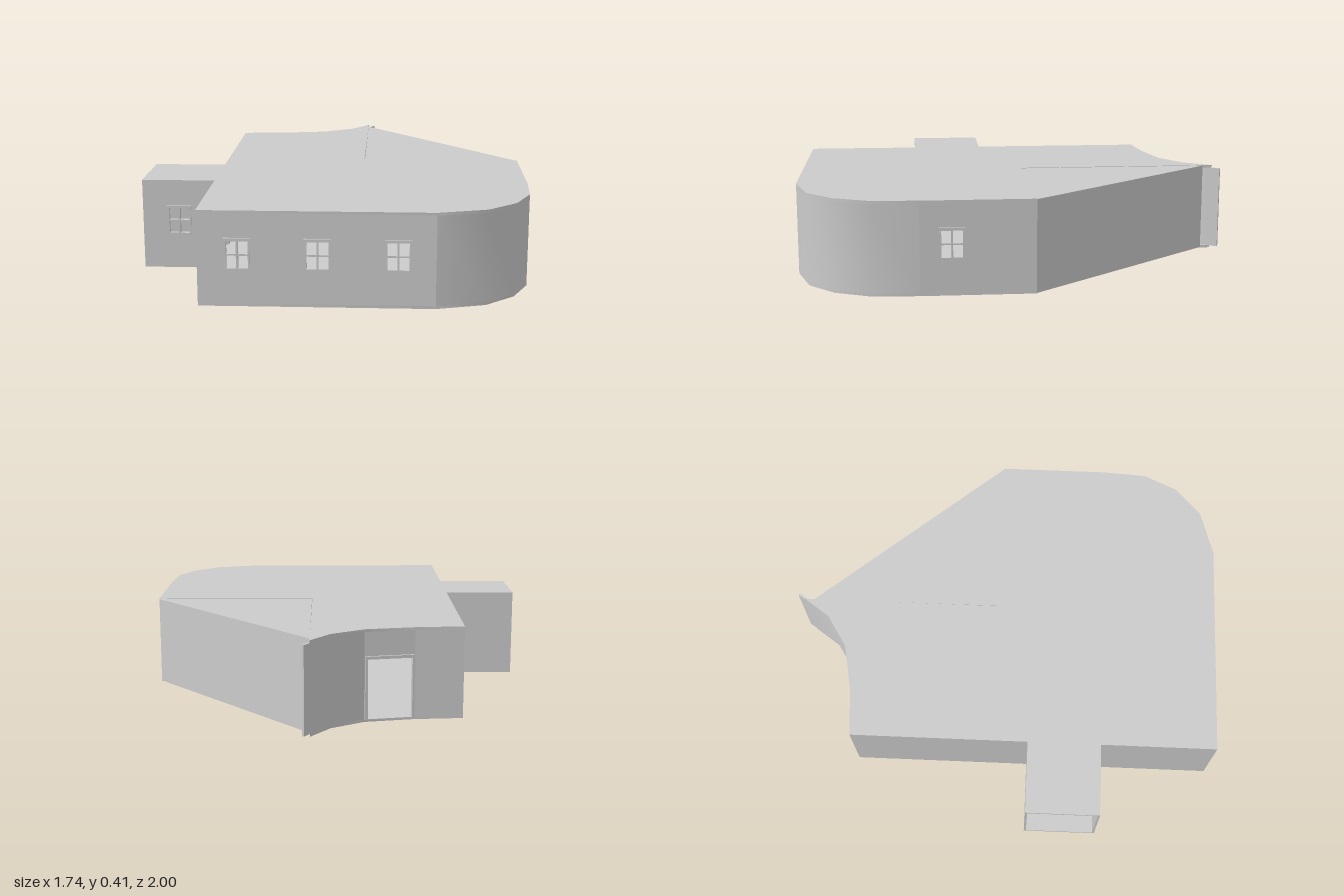
import * as THREE from 'three';
import { toCreasedNormals } from 'three/addons/utils/BufferGeometryUtils.js';

const T = 0.01;              // wall thickness
const Y0 = 0.012, Y1 = 0.396, TOP = 0.408;
const material = new THREE.MeshStandardMaterial({ color: 0xcccccc, side: THREE.DoubleSide });

function add(parent, name, geometry) {
  const mesh = new THREE.Mesh(geometry, material);
  mesh.name = name;
  parent.add(mesh);
  return mesh;
}

// Extrude a plan outline of [x, z] points upward from y0 to y1
function prism(points, y0, y1) {
  const shape = new THREE.Shape(points.map(([x, z]) => new THREE.Vector2(x, -z)));
  const geo = new THREE.ExtrudeGeometry(shape, { depth: y1 - y0, bevelEnabled: false });
  geo.rotateX(-Math.PI / 2).translate(0, y0, 0);
  return toCreasedNormals(geo, 0.6);
}

// Bent wall along a plan path, thickened inward with mitred corners
function bentWall(path) {
  const normal = (a, b) => new THREE.Vector2(b[1] - a[1], a[0] - b[0]).normalize();
  const inner = path.map((p, i) => {
    const n1 = normal(path[Math.max(i - 1, 0)], path[Math.max(i, 1)]);
    const last = path.length - 1;
    const n2 = normal(path[Math.min(i, last - 1)], path[Math.min(i + 1, last)]);
    const m = n1.clone().add(n2);
    m.multiplyScalar(2 * T / m.lengthSq());
    return [p[0] + m.x, p[1] + m.y];
  });
  return prism([...path, ...inner.reverse()], Y0, Y1);
}

function rect(target, x0, y0, x1, y1) {
  return target.moveTo(x0, y0).lineTo(x1, y0).lineTo(x1, y1).lineTo(x0, y1).closePath();
}

// Flat panel with rectangular holes; its outer face lies at z = out
function panel(box, holes, depth, out) {
  const shape = rect(new THREE.Shape(), ...box);
  holes.forEach(h => shape.holes.push(rect(new THREE.Path(), ...h)));
  return new THREE.ExtrudeGeometry(shape, { depth, bevelEnabled: false }).translate(0, 0, out - depth);
}

// Four-pane window frame with a lintel, centred at u along its wall
function addWindow(wall, u) {
  const panes = [];
  for (const x of [u - 0.045, u + 0.004])
    for (const y of [0.165, 0.226]) panes.push([x, y, x + 0.041, y + 0.054]);
  add(wall, 'windowFrame', panel([u - 0.053, 0.155, u + 0.053, 0.287], panes, 0.02, 0.007));
  add(wall, 'windowLintel', panel([u - 0.056, 0.285, u + 0.056, 0.293], [], 0.02, 0.009));
}

// Straight wall from a to b with windows at the given distances from a
function straightWall(parent, name, a, b, windows = []) {
  const wall = new THREE.Group();
  wall.name = name;
  wall.position.set(a[0], 0, a[1]);
  wall.rotation.y = Math.atan2(a[1] - b[1], b[0] - a[0]);
  const length = Math.hypot(b[0] - a[0], b[1] - a[1]);
  const holes = windows.map(u => [u - 0.049, 0.16, u + 0.049, 0.284]);
  add(wall, name + 'Panel', panel([0, Y0, length, Y1], holes, T, 0));
  windows.forEach(u => addWindow(wall, u));
  parent.add(wall);
}

export function createModel() {
  const group = new THREE.Group();
  group.name = 'building';

  const corner = [[0.44, 0.988], [0.65, 0.926], [0.775, 0.81], [0.845, 0.655], [0.857, 0.45]];
  const backCurve = [[0.12, -0.965], [0.035, -0.845], [-0.11, -0.752]];
  const backEnd = [[-0.33, -0.71], [-0.542, -0.695]];
  const annex = [[-0.542, 0.122], [-0.87, 0.122], [-0.87, 0.458], [-0.542, 0.458]];
  const tip = [0.12, -0.92], inside = [0.12, -0.04], elbow = [0.857, -0.04];
  const frontRight = [-0.542, 0.988];

  // Floor and roof, each a main slab and a triangular slab
  const main = [frontRight, ...corner, elbow, inside, ...backCurve, ...backEnd, ...annex];
  const triangle = [elbow, tip, [0.122, -0.04]];
  add(group, 'floor', prism(main, 0, Y0));
  add(group, 'roof', prism(main, Y1, TOP));
  add(group, 'floorTriangle', prism(triangle, 0.002, Y0));
  add(group, 'roofTriangle', prism(triangle, Y1, TOP - 0.002));

  // Main walls
  straightWall(group, 'frontWall', frontRight, corner[0], [0.167, 0.497, 0.827]);
  add(group, 'roundedCornerWall', bentWall(corner));
  straightWall(group, 'leftWall', corner[4], elbow, [0.135]);
  straightWall(group, 'diagonalWall', elbow, tip);
  add(group, 'curvedBackWall', bentWall([[0.143, -1], ...backCurve]));
  add(group, 'backEndWall', bentWall(backEnd));
  straightWall(group, 'rightRearWall', backEnd[1], annex[0]);
  straightWall(group, 'rightFrontWall', annex[3], frontRight);

  // Annex, open at its outer end
  straightWall(group, 'annexBackWall', annex[0], annex[1]);
  straightWall(group, 'annexFrontWall', annex[2], annex[3], [0.165]);

  // Doorway in the back wall
  const [a, b] = [backCurve[2], backEnd[0]];
  const length = Math.hypot(b[0] - a[0], b[1] - a[1]);
  const doorway = new THREE.Group();
  doorway.name = 'doorway';
  doorway.position.set(a[0], 0, a[1]);
  doorway.rotation.y = Math.atan2(a[1] - b[1], b[0] - a[0]);
  add(doorway, 'doorWall', panel([0, Y0, length, Y1], [[0.01, Y0 + 0.001, length - 0.01, 0.28]], T, 0));
  add(doorway, 'doorFrame', panel([0.002, Y0, length - 0.002, 0.29],
    [[0.014, Y0 + 0.002, length - 0.014, 0.277]], 0.022, 0.01));
  group.add(doorway);

  return group;
}
